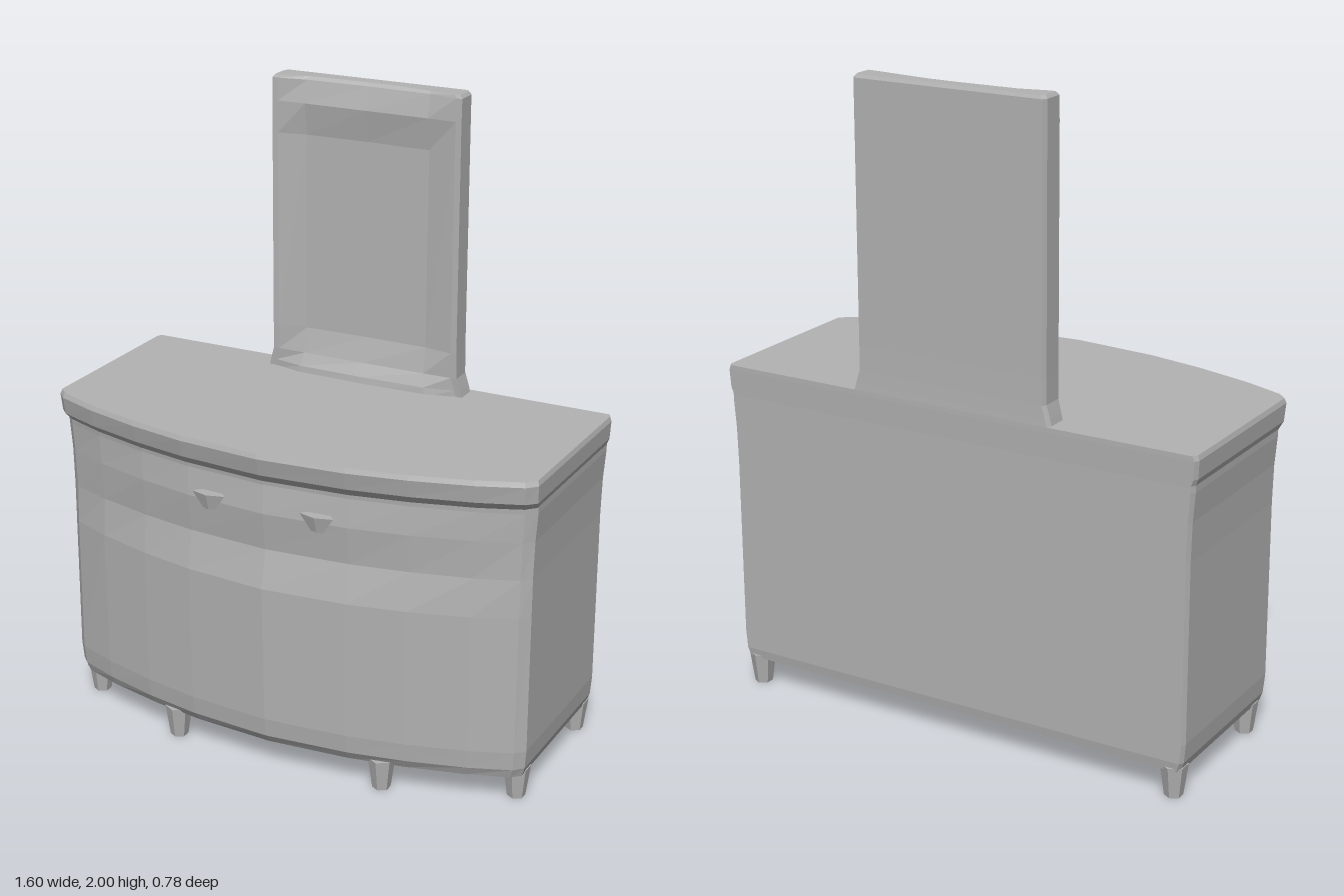
import * as THREE from 'three';

const grey = new THREE.MeshStandardMaterial({ color: 0xb2b2b2, flatShading: true });
grey.name = 'plain grey';

// Bow-fronted solid lofted from rows of [y, half width, back z, corner z, middle z].
// spread: positions across the front, bend: how far each has moved towards the middle z.
function bowLoft(name, rows, spread, bend) {
  const rings = rows.map(([y, w, back, corner, middle]) => [
    [-w + 0.008, y, back], [-w, y, back + 0.015],
    ...spread.map((s, i) => [s * w, y, corner + (middle - corner) * bend[i]]),
    [w, y, back + 0.015], [w - 0.008, y, back],
  ]);
  const n = rings[0].length, index = [];
  for (let r = 0; r < rings.length - 1; r++) {
    for (let i = 0; i < n; i++) {
      const a = r * n + i, b = r * n + (i + 1) % n;
      index.push(a, b, b + n, a, b + n, a + n);
    }
  }
  const top = (rings.length - 1) * n;
  for (let i = 1; i < n - 1; i++) {
    index.push(0, i + 1, i, top, top + i, top + i + 1);
  }
  const geometry = new THREE.BufferGeometry();
  geometry.setAttribute('position', new THREE.Float32BufferAttribute(rings.flat(2), 3));
  geometry.setIndex(index);
  const flat = geometry.toNonIndexed();
  flat.computeVertexNormals();
  const mesh = new THREE.Mesh(flat, grey);
  mesh.name = name;
  return mesh;
}

const SPREAD = [-1, -0.965, -0.8, -0.57, -0.34, 0, 0.34, 0.57, 0.8, 0.965, 1];
const BEND = [0, 0.15, 0.42, 0.69, 0.88, 1, 0.88, 0.69, 0.42, 0.15, 0];

export function createModel() {
  const model = new THREE.Group();
  model.name = 'dresser';

  // Cabinet with a rounded lower edge and a shallow recessed drawer band
  model.add(bowLoft('cabinet', [
    [0.09, 0.765, -0.38, 0.155, 0.32],
    [0.12, 0.775, -0.385, 0.16, 0.342],
    [0.18, 0.78, -0.385, 0.163, 0.35],
    [0.62, 0.78, -0.385, 0.163, 0.36],
    [0.74, 0.78, -0.385, 0.163, 0.335],
    [0.86, 0.783, -0.385, 0.163, 0.352],
    [0.95, 0.79, -0.385, 0.165, 0.345],
    [0.99, 0.79, -0.385, 0.168, 0.35],
  ], SPREAD, BEND));

  // Worktop with a softened overhang
  model.add(bowLoft('worktop', [
    [0.965, 0.788, -0.385, 0.165, 0.352],
    [0.99, 0.797, -0.386, 0.188, 0.372],
    [1.045, 0.8, -0.388, 0.195, 0.387],
    [1.06, 0.795, -0.388, 0.19, 0.382],
  ], SPREAD, BEND));

  // Upright mirror: flared base, slightly sunken face, thicker top rail
  const mirror = bowLoft('mirror', [
    [1.05, 0.338, -0.388, -0.31, -0.278],
    [1.08, 0.33, -0.387, -0.308, -0.282],
    [1.12, 0.318, -0.386, -0.305, -0.303],
    [1.2, 0.317, -0.385, -0.303, -0.322],
    [1.82, 0.316, -0.385, -0.303, -0.326],
    [1.92, 0.316, -0.385, -0.303, -0.306],
    [1.99, 0.316, -0.385, -0.305, -0.325],
    [2.0, 0.308, -0.38, -0.31, -0.335],
  ], [-1, -0.94, -0.65, 0, 0.65, 0.94, 1], [0, 0, 0.8, 1, 0.8, 0, 0]);
  model.add(mirror);

  // Drawer pulls
  for (const side of [-1, 1]) {
    const pull = new THREE.Mesh(new THREE.CylinderGeometry(0.022, 0.008, 0.05, 5), grey);
    pull.name = 'drawerPull';
    pull.scale.set(2.6, 1, 1);
    pull.position.set(side * 0.18, 0.865, 0.348);
    model.add(pull);
  }

  // Six tapered feet
  for (const side of [-1, 1]) {
    for (const [x, z] of [[0.735, -0.35], [0.735, 0.12], [0.355, 0.265]]) {
      const foot = new THREE.Mesh(new THREE.CylinderGeometry(0.042, 0.028, 0.1, 6), grey);
      foot.name = 'foot';
      foot.position.set(side * x, 0.05, z);
      model.add(foot);
    }
  }
  return model;
}
